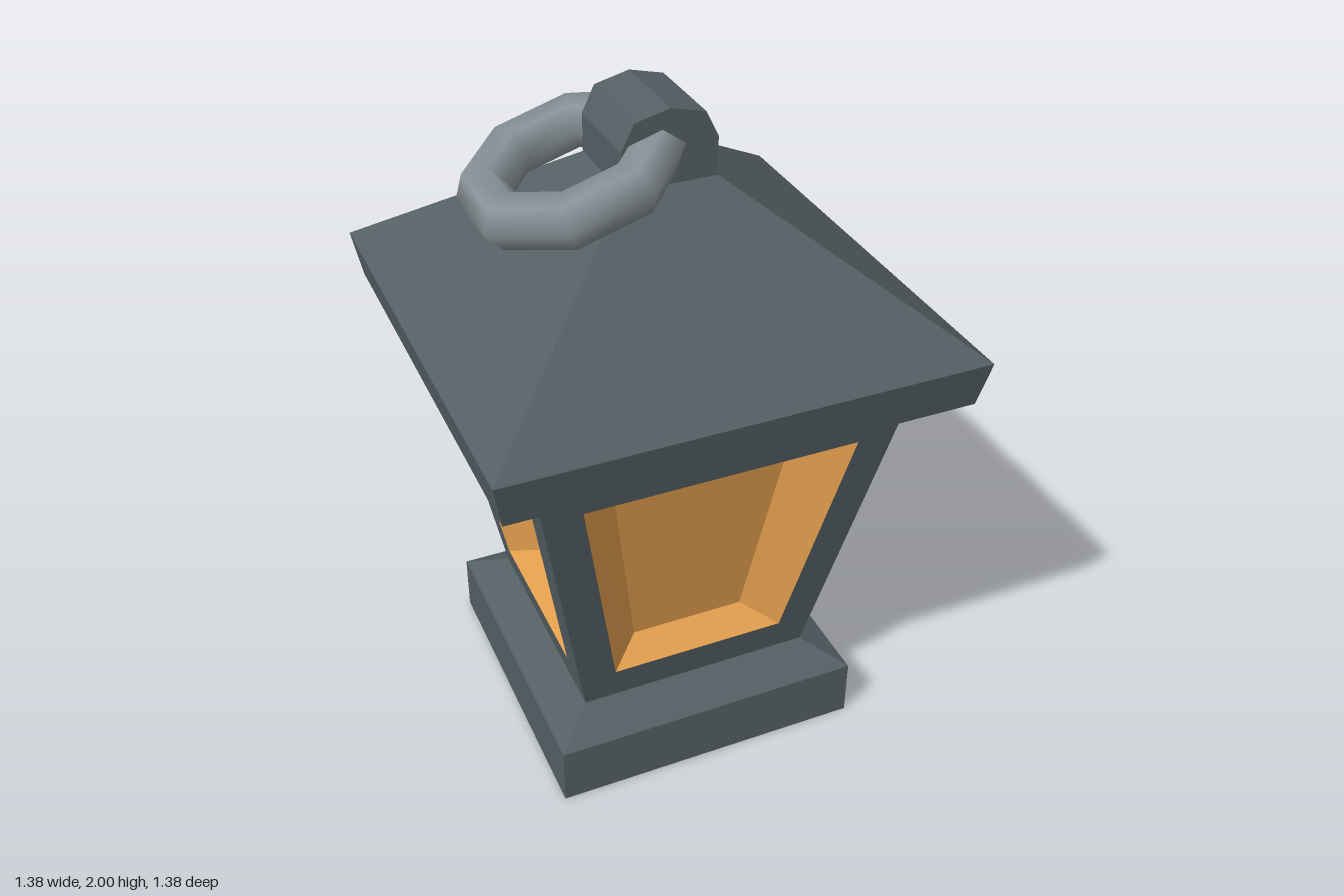
import * as THREE from 'three';

const mat = (name, color) => Object.assign(new THREE.MeshStandardMaterial({ color }), { name });

// Flat quads, each given as four corners counter-clockwise from outside
function quadGeometry(quads) {
  const pos = quads.flatMap(([a, b, c, d]) => [a, b, c, a, c, d].flat());
  const g = new THREE.BufferGeometry();
  g.setAttribute('position', new THREE.Float32BufferAttribute(pos, 3));
  g.computeVertexNormals();
  return g;
}

// Corners of a trapezoid facing +z: bottom and top edges as [halfWidth, y, z]
const trapezoid = ([w0, y0, z0], [w1, y1, z1]) =>
  [[-w0, y0, z0], [w0, y0, z0], [w1, y1, z1], [-w1, y1, z1]];

// Quads joining an outer outline to an inner one
const border = (outer, inner) => outer.map((p, i) => {
  const j = (i + 1) % 4;
  return [p, outer[j], inner[j], inner[i]];
});

// One face of a square stack with levels [halfWidth, y]
const bands = levels => levels.slice(1).map(([w, y], i) => {
  const [w0, y0] = levels[i];
  return trapezoid([w0, y0, w0], [w, y, w]);
});

export function createModel() {
  const model = new THREE.Group();
  const iron = mat('dark iron', 0x545f64);
  const glass = mat('amber glass', 0xe09c4c);
  const steel = mat('ring steel', 0x879197);

  const add = (parent, name, geometry, material) => {
    const m = new THREE.Mesh(geometry, material);
    m.name = name;
    parent.add(m);
    return m;
  };

  // Outlines of the wall, its window opening and the recessed pane
  const wall = trapezoid([0.36, 0.25, 0.36], [0.54, 1.21, 0.54]);
  const opening = trapezoid([0.27, 0.36, 0.381], [0.405, 1.1, 0.519]);
  const pane = trapezoid([0.175, 0.41, 0.295], [0.27, 1.05, 0.38]);

  const base = quadGeometry(bands([[0, 0], [0.475, 0], [0.475, 0.185], [0.36, 0.25]]));
  const frame = quadGeometry(border(wall, opening));
  const windowGlass = quadGeometry([...border(opening, pane), pane]);
  const roof = quadGeometry(bands([[0.54, 1.21], [0.665, 1.25], [0.69, 1.385], [0.137, 1.79], [0, 1.79]]));

  // The four sides are alike
  for (let i = 0; i < 4; i++) {
    const side = new THREE.Group();
    side.name = 'lanternSide';
    side.rotation.y = i * Math.PI / 2;
    add(side, 'base', base, iron);
    add(side, 'windowFrame', frame, iron);
    add(side, 'window', windowGlass, glass);
    add(side, 'roof', roof, iron);
    model.add(side);
  }

  // Arched lug on top of the roof
  const arch = new THREE.Shape([
    [-0.137, 1.78], [0.137, 1.78], [0.137, 1.9], [0.1, 1.975],
    [0, 2], [-0.1, 1.975], [-0.137, 1.9],
  ].map(p => new THREE.Vector2(...p)));
  const lug = new THREE.ExtrudeGeometry(arch, { depth: 0.276, bevelEnabled: false });
  lug.translate(0, 0, -0.138);
  add(model, 'lug', lug, iron);

  // Eight-sided carrying ring, fallen to one side
  const ring = new THREE.TorusGeometry(0.244, 0.075, 6, 8);
  ring.rotateZ(Math.PI / 8).rotateX(Math.PI / 2).rotateZ(0.3);
  ring.translate(-0.222, 1.815, 0);
  add(model, 'carryingRing', ring, steel);

  return model;
}
